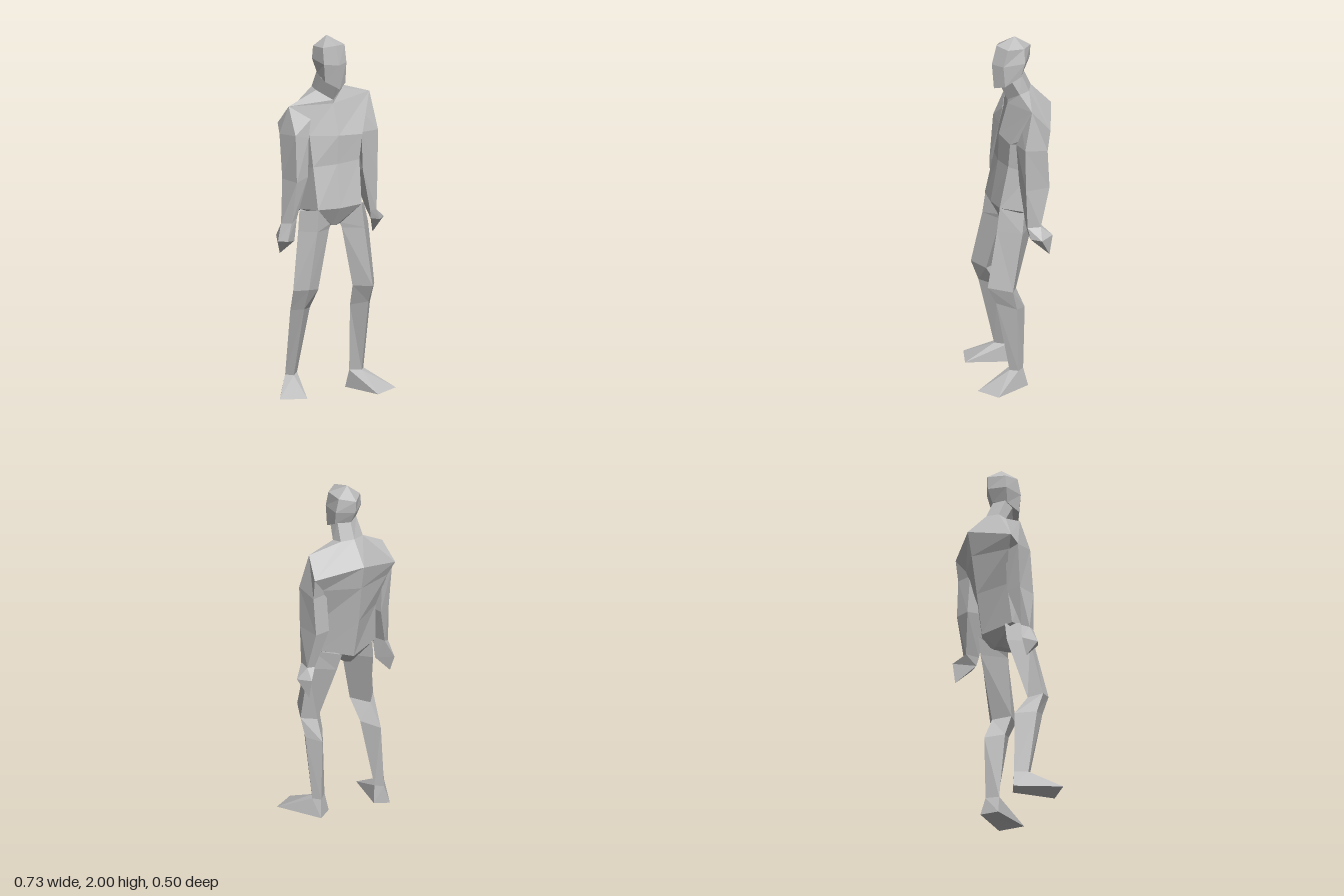
import * as THREE from 'three';

const skin = new THREE.MeshStandardMaterial({ color: 0xbdbdbd });
skin.name = 'plain grey';

// Joins matching cross-section loops into a closed faceted solid; ends close on a tip or the loop's centre.
function loft(name, rings, { startTip, endTip } = {}) {
  const tris = [];
  const n = rings[0].length;
  const centre = (r) => [0, 1, 2].map((k) => r.reduce((s, p) => s + p[k], 0) / n);
  const first = rings[0], last = rings[rings.length - 1];
  const a0 = startTip ?? centre(first), b0 = endTip ?? centre(last);
  for (let j = 0; j < n; j++) {
    const k = (j + 1) % n;
    for (let i = 0; i + 1 < rings.length; i++) {
      const a = rings[i], b = rings[i + 1];
      tris.push([a[j], a[k], b[k]], [a[j], b[k], b[j]]);
    }
    tris.push([a0, first[k], first[j]], [b0, last[j], last[k]]);
  }
  // Turn the faces outward whichever way the loops run
  const v = (p) => new THREE.Vector3(...p);
  const volume = tris.reduce((s, [a, b, c]) => s + v(a).dot(v(b).cross(v(c))), 0);
  if (volume < 0) tris.forEach((t) => t.reverse());
  const geo = new THREE.BufferGeometry();
  geo.setAttribute('position', new THREE.Float32BufferAttribute(tris.flat(2), 3));
  geo.computeVertexNormals();
  const mesh = new THREE.Mesh(geo, skin);
  mesh.name = name;
  return mesh;
}

export function createModel() {
  const figure = new THREE.Group();
  figure.name = 'standingFigure';

  // Trunk loops: right front, middle front, left front, left back, middle back, right back
  const crotch = [[-0.01, 0.94, 0.02], [0.015, 0.94, 0.03], [0.045, 0.95, 0.03],
    [0.045, 0.93, -0.08], [0.02, 0.93, -0.1], [-0.01, 0.93, -0.08]];
  const hips = [[-0.12, 1.05, 0.05], [0, 1.05, 0.085], [0.13, 1.06, 0.105],
    [0.19, 1.03, -0.02], [0.06, 1.0, -0.16], [-0.14, 1.02, -0.13]];
  const waist = [[-0.115, 1.28, -0.005], [0.01, 1.29, 0.045], [0.145, 1.3, 0.06],
    [0.19, 1.25, -0.06], [0.06, 1.23, -0.2], [-0.12, 1.25, -0.15]];
  const chest = [[-0.115, 1.45, -0.04], [0.02, 1.45, 0.045], [0.165, 1.44, 0.06],
    [0.24, 1.45, -0.1], [0.07, 1.45, -0.23], [-0.17, 1.43, -0.19]];
  const shoulders = [[-0.195, 1.61, -0.125], [0.02, 1.62, -0.01], [0.265, 1.65, -0.02],
    [0.31, 1.54, -0.11], [0.075, 1.59, -0.255], [-0.21, 1.5, -0.21]];
  const collar = [[-0.045, 1.69, -0.08], [0.02, 1.64, -0.01], [0.1, 1.69, -0.04],
    [0.1, 1.7, -0.1], [0.04, 1.71, -0.145], [-0.04, 1.7, -0.13]];
  figure.add(loft('pelvis', [crotch, hips]));
  figure.add(loft('torso', [hips, waist, chest, shoulders, collar]));

  // Neck and head, same loop order
  const throat = [[-0.045, 1.77, -0.03], [0.01, 1.73, 0.03], [0.08, 1.77, 0.0],
    [0.085, 1.8, -0.06], [0.03, 1.8, -0.105], [-0.04, 1.8, -0.08]];
  const jaw = [[-0.05, 1.76, 0.015], [0.01, 1.72, 0.07], [0.07, 1.74, 0.035],
    [0.095, 1.79, -0.05], [0.03, 1.8, -0.11], [-0.045, 1.79, -0.07]];
  const brow = [[-0.06, 1.86, 0.02], [0, 1.86, 0.077], [0.07, 1.86, 0.045],
    [0.108, 1.87, -0.07], [0.03, 1.87, -0.145], [-0.062, 1.87, -0.095]];
  const scalp = [[-0.055, 1.95, 0.0], [0, 1.965, 0.048], [0.075, 1.955, 0.02],
    [0.09, 1.95, -0.075], [0.03, 1.94, -0.15], [-0.055, 1.94, -0.095]];
  figure.add(loft('neck', [collar, throat]));
  figure.add(loft('head', [jaw, brow, scalp], { startTip: [0.02, 1.76, -0.01], endTip: [0.01, 2, -0.06] }));

  // Arm loops: inner front, outer front, outer back, inner back
  const arms = {
    left: {
      limb: [
        [[0.175, 1.58, 0.0], [0.265, 1.65, -0.02], [0.31, 1.54, -0.11], [0.22, 1.5, -0.12]],
        [[0.18, 1.44, 0.03], [0.285, 1.44, 0.035], [0.305, 1.42, -0.095], [0.21, 1.42, -0.1]],
        [[0.195, 1.22, 0.02], [0.285, 1.2, 0.03], [0.3, 1.2, -0.11], [0.21, 1.2, -0.12]],
        [[0.25, 0.98, 0.01], [0.285, 0.98, 0.02], [0.308, 0.98, -0.05], [0.27, 0.98, -0.07]],
      ],
      knuckles: [[0.26, 0.93, 0.0], [0.31, 0.92, 0.015], [0.363, 0.92, -0.025], [0.333, 0.93, -0.11]],
      tip: [0.333, 0.82, -0.09],
    },
    right: {
      limb: [
        [[-0.1, 1.54, -0.05], [-0.195, 1.61, -0.125], [-0.21, 1.5, -0.21], [-0.13, 1.48, -0.2]],
        [[-0.12, 1.44, -0.04], [-0.2, 1.46, -0.05], [-0.225, 1.45, -0.17], [-0.14, 1.43, -0.18]],
        [[-0.125, 1.22, -0.04], [-0.205, 1.2, -0.03], [-0.22, 1.2, -0.15], [-0.14, 1.2, -0.17]],
        [[-0.185, 0.99, -0.06], [-0.225, 0.97, -0.05], [-0.255, 0.96, -0.11], [-0.21, 0.98, -0.13]],
      ],
      knuckles: [[-0.195, 0.86, -0.07], [-0.255, 0.87, -0.045], [-0.292, 0.87, -0.085], [-0.25, 0.88, -0.165]],
      tip: [-0.25, 0.785, -0.13],
    },
  };
  for (const [side, { limb, knuckles, tip }] of Object.entries(arms)) {
    figure.add(loft(`${side}Arm`, limb));
    figure.add(loft(`${side}Hand`, [limb[3], knuckles], { endTip: tip }));
  }

  // Leg loops: inner, front, outer, back; the sole runs inner heel, inner toe, outer toe, back of heel
  const legs = {
    left: {
      limb: [
        [[0.04, 0.95, 0.02], [0.13, 1.06, 0.105], [0.215, 1.03, 0.0], [0.12, 1.02, -0.13]],
        [[0.05, 0.92, 0.03], [0.135, 0.93, 0.125], [0.23, 0.92, 0.02], [0.13, 0.92, -0.1]],
        [[0.08, 0.6, 0.09], [0.145, 0.61, 0.19], [0.23, 0.59, 0.08], [0.16, 0.58, 0.02]],
        [[0.09, 0.48, 0.05], [0.15, 0.51, 0.14], [0.222, 0.48, 0.05], [0.17, 0.46, -0.03]],
        [[0.105, 0.1, 0.02], [0.16, 0.1, 0.06], [0.195, 0.1, 0.025], [0.17, 0.1, -0.02]],
      ],
      sole: [[0.092, 0, 0.0], [0.14, 0.01, 0.25], [0.287, 0.015, 0.205], [0.19, 0, -0.04]],
    },
    right: {
      limb: [
        [[-0.005, 0.95, 0.01], [-0.115, 1.05, 0.05], [-0.175, 1.03, -0.05], [-0.1, 1.02, -0.145]],
        [[-0.02, 0.92, 0.01], [-0.13, 0.93, 0.06], [-0.19, 0.92, -0.04], [-0.11, 0.92, -0.14]],
        [[-0.115, 0.6, 0.045], [-0.205, 0.62, 0.088], [-0.25, 0.6, 0.0], [-0.18, 0.58, -0.05]],
        [[-0.12, 0.48, -0.03], [-0.205, 0.5, 0.04], [-0.242, 0.48, -0.04], [-0.17, 0.46, -0.14]],
        [[-0.15, 0.1, -0.11], [-0.205, 0.1, -0.06], [-0.235, 0.1, -0.1], [-0.18, 0.1, -0.155]],
      ],
      sole: [[-0.135, 0, -0.12], [-0.23, 0.01, 0.11], [-0.365, 0.015, 0.04], [-0.2, 0, -0.18]],
    },
  };
  for (const [side, { limb, sole }] of Object.entries(legs)) {
    figure.add(loft(`${side}Leg`, limb));
    figure.add(loft(`${side}Foot`, [limb[4], sole]));
  }
  return figure;
}
